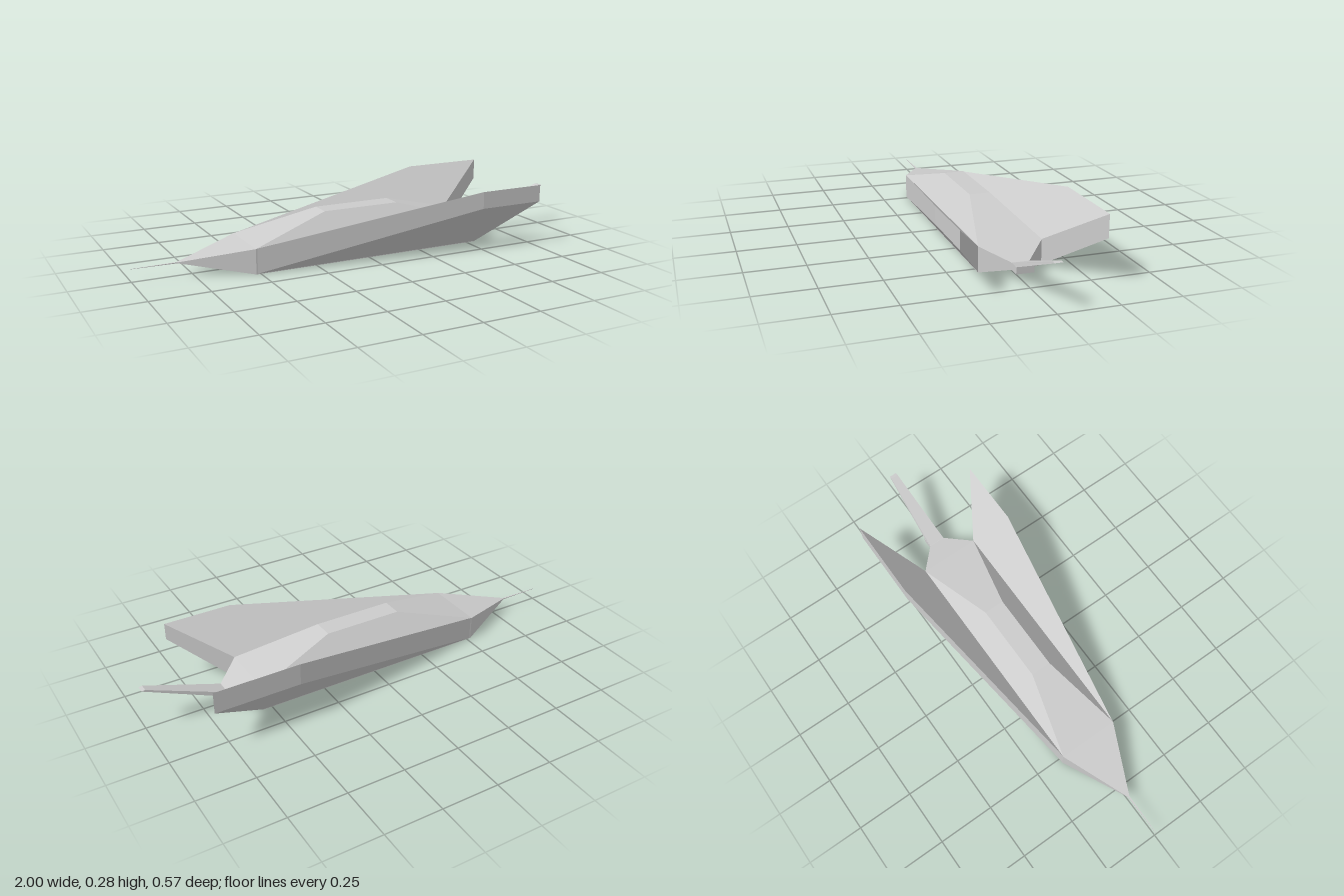
import * as THREE from 'three';

const hullGrey = new THREE.MeshStandardMaterial({ color: 0xcccccc, flatShading: true });
hullGrey.name = 'hull grey';

// Skins a closed solid through matching rings of [x, y, z] corners.
function loft(name, rings) {
  const pos = [];
  const tri = (a, b, c) => pos.push(...a, ...b, ...c);
  const n = rings[0].length;
  for (let i = 0; i < rings.length - 1; i++) {
    for (let j = 0; j < n; j++) {
      const k = (j + 1) % n, r = rings[i], s = rings[i + 1];
      tri(r[j], r[k], s[k]);
      tri(r[j], s[k], s[j]);
    }
  }
  const first = rings[0], last = rings[rings.length - 1];
  for (let j = 1; j < n - 1; j++) {
    tri(first[0], first[j + 1], first[j]);
    tri(last[0], last[j], last[j + 1]);
  }
  const geo = new THREE.BufferGeometry();
  geo.setAttribute('position', new THREE.Float32BufferAttribute(pos, 3));
  geo.computeVertexNormals();
  const mesh = new THREE.Mesh(geo, hullGrey);
  mesh.name = name;
  return mesh;
}

// Hull cross-section: flat floor, upright sides, sloping canopy roof.
const hullRing = (x, floor, side, w, roof, roofW) => [
  [x, floor, w], [x, floor, -w], [x, side, -w],
  [x, roof, -roofW], [x, roof, roofW], [x, side, w],
];

const boxRing = (x, y0, y1, w) => [[x, y0, w], [x, y0, -w], [x, y1, -w], [x, y1, w]];

// Swept wing rising outwards from the whole side of the hull.
function wing(name, side, tip) {
  const ring = (x0, x1, y0, y1, z) => {
    const r = [[x0, y0, z], [x1, y0, z], [x1, y1, z], [x0, y1, z]];
    return side > 0 ? r : r.reverse();
  };
  return loft(name, [
    ring(-0.52, 0.54, 0.001, 0.108, side * 0.132),
    ring(tip.x0, tip.x1, tip.y0, tip.y1, side * 0.286),
  ]);
}

export function createModel() {
  const model = new THREE.Group();
  model.name = 'spacecraft';

  model.add(loft('hull', [
    hullRing(-0.81, 0.053, 0.057, 0.004, 0.057, 0.004),
    hullRing(-0.52, 0, 0.108, 0.133, 0.108, 0.133),
    hullRing(-0.17, 0, 0.108, 0.133, 0.205, 0.045),
    hullRing(0.18, 0, 0.108, 0.133, 0.205, 0.045),
    hullRing(0.54, 0, 0.108, 0.133, 0.108, 0.133),
    hullRing(0.65, 0.04, 0.07, 0.037, 0.07, 0.037),
  ]));

  // Needle at the nose
  model.add(loft('noseProbe', [
    boxRing(-1, 0.0545, 0.0555, 0.0008),
    boxRing(-0.8, 0.053, 0.057, 0.004),
  ]));

  model.add(wing('leftWing', 1, { x0: 0.48, x1: 0.78, y0: 0.195, y1: 0.27 }));
  model.add(wing('rightWing', -1, { x0: 0.44, x1: 0.81, y0: 0.185, y1: 0.28 }));

  // Tail block and the thin fin rising behind it
  model.add(loft('tailBlock', [boxRing(0.648, 0.04, 0.07, 0.037), boxRing(0.7, 0.04, 0.07, 0.037)]));
  const finRing = (xBack, yBack, xFront, yFront, w) => [
    [xBack, yBack, w], [xBack, yBack, -w], [xFront, yFront, -w], [xFront, yFront, w],
  ];
  model.add(loft('tailFin', [
    finRing(0.7, 0.069, 0.65, 0.069, 0.036),
    finRing(1, 0.192, 0.985, 0.194, 0.017),
  ]));

  return model;
}
